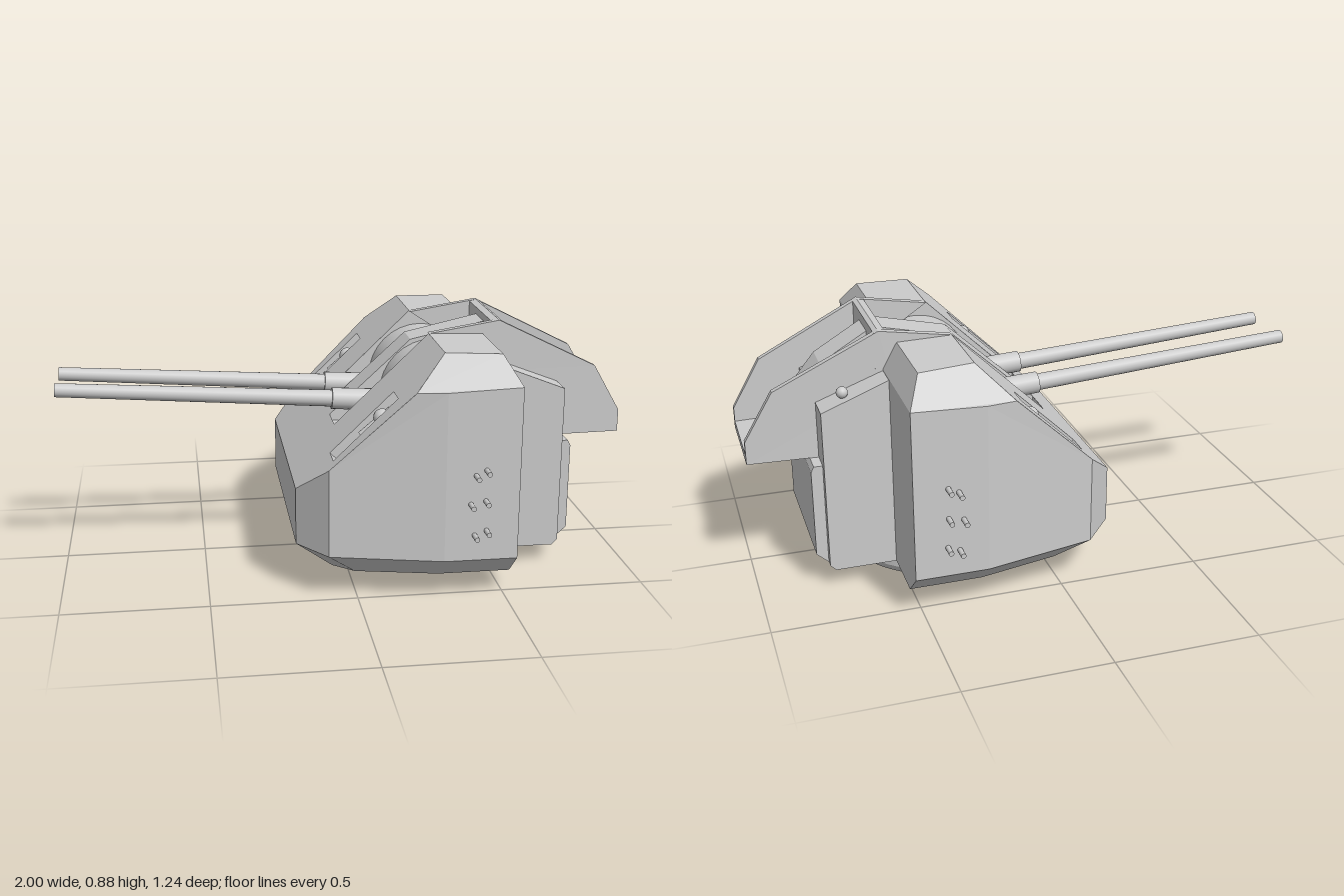
import * as THREE from 'three';
import { mergeGeometries } from 'three/addons/utils/BufferGeometryUtils.js';

const grey = new THREE.MeshStandardMaterial({ color: 0xcccccc });
const plate = new THREE.MeshStandardMaterial({ color: 0xcccccc, flatShading: true, side: THREE.DoubleSide });
const V = (p) => new THREE.Vector3(...p);
const centre = V([0.25, 0.45, 0]);

// Flat plate from corner points, with optional holes, facing away from the turret centre
function panel(pts, holes = [], inward = false) {
  const p = pts.map(V), n = new THREE.Vector3(), mid = new THREE.Vector3();
  p.forEach((a, i) => {
    n.add(new THREE.Vector3().crossVectors(a, p[(i + 1) % p.length]));
    mid.addScaledVector(a, 1 / p.length);
  });
  n.normalize();
  const u = p[1].clone().sub(p[0]);
  u.addScaledVector(n, -u.dot(n)).normalize();
  const v = n.clone().cross(u);
  const flat = (a) => new THREE.Vector2(a.dot(u), a.dot(v));
  const h = holes.map((q) => q.map(V));
  const faces = THREE.ShapeUtils.triangulateShape(p.map(flat), h.map((q) => q.map(flat)));
  const all = [...p, ...h.flat()];
  const flip = (n.dot(mid.sub(centre)) < 0) !== inward;
  const out = faces.flatMap(([a, b, c]) => (flip ? [a, c, b] : [a, b, c])).map((i) => all[i]);
  const g = new THREE.BufferGeometry().setFromPoints(out);
  g.computeVertexNormals();
  return g;
}

// Side profile (x, y) extruded between two z values
function slab(profile, z0, z1) {
  const g = new THREE.ExtrudeGeometry(new THREE.Shape(profile.map((p) => new THREE.Vector2(...p))),
    { depth: z1 - z0, bevelEnabled: false });
  return g.translate(0, 0, z0);
}

// Round bar between two points
function rod(a, b, r0, r1, open = false, sides = 16) {
  const A = V(a), d = V(b).sub(A);
  const g = new THREE.CylinderGeometry(r1, r0, d.length(), sides, 1, open);
  g.applyQuaternion(new THREE.Quaternion().setFromUnitVectors(new THREE.Vector3(0, 1, 0), d.clone().normalize()));
  return g.translate(...A.addScaledVector(d, 0.5).toArray());
}

const slopeY = (x) => 0.37 + (x + 0.2) * 0.959;
const mirror = (pts, s) => pts.map(([x, y, z]) => [x, y, z * s]);

// Plates of the armoured housing on one side
const sidePlates = [
  [[-0.2, 0.37, 0.4], [-0.1, 0.466, 0.51], [-0.1, 0.16, 0.51], [-0.2, 0.17, 0.4]],
  [[-0.1, 0.466, 0.51], [0.18, 0.734, 0.56], [0.28, 0.735, 0.575], [0.28, 0.15, 0.575], [-0.1, 0.16, 0.51]],
  [[0.28, 0.735, 0.575], [0.53, 0.745, 0.575], [0.53, 0.15, 0.575], [0.28, 0.15, 0.575]],
  [[0.18, 0.734, 0.56], [0.29, 0.84, 0.46], [0.48, 0.835, 0.48], [0.53, 0.745, 0.575], [0.28, 0.735, 0.575]],
  [[0.29, 0.84, 0.46], [0.29, 0.84, 0.185], [0.48, 0.835, 0.185], [0.48, 0.835, 0.48]],
  [[0.48, 0.835, 0.48], [0.48, 0.835, 0.185], [0.53, 0.745, 0.185], [0.53, 0.745, 0.575]],
  [[0.53, 0.745, 0], [0.53, 0.745, 0.575], [0.53, 0.15, 0.575], [0.53, 0.065, 0.48], [0.53, 0.065, 0]],
  [[-0.2, 0.17, 0.4], [-0.1, 0.16, 0.51], [0, 0.065, 0.42], [-0.07, 0.065, 0.36]],
  [[-0.1, 0.16, 0.51], [0.28, 0.15, 0.575], [0.28, 0.065, 0.48], [0, 0.065, 0.42]],
  [[0.28, 0.15, 0.575], [0.53, 0.15, 0.575], [0.53, 0.065, 0.48], [0.28, 0.065, 0.48]],
  [[-0.07, 0.065, 0], [-0.07, 0.065, 0.36], [0, 0.065, 0.42], [0.28, 0.065, 0.48], [0.53, 0.065, 0.48], [0.53, 0.065, 0]],
];

export function createModel() {
  const root = new THREE.Group();
  const add = (name, geo, mat = plate, parent = root) => {
    const m = new THREE.Mesh(geo, mat);
    m.name = name;
    parent.add(m);
    return m;
  };

  // Mounting ring
  add('mountingRing', new THREE.CylinderGeometry(0.325, 0.325, 0.045, 48).translate(0.32, 0.0475, 0), grey);
  add('ringFoot', new THREE.CylinderGeometry(0.325, 0.312, 0.025, 48).translate(0.32, 0.0125, 0), grey);

  // Armoured housing with gun opening and two sight ports
  const shell = [];
  const port = [[-0.08, 0.38], [0.135, 0.38], [0.135, 0.465], [-0.08, 0.465]].map(([x, z]) => [x, slopeY(x), z]);
  const edge = [[-0.2, 0.4], [-0.1, 0.51], [0.18, 0.56], [0.29, 0.46], [0.29, 0.185], [-0.04, 0.185]]
    .map(([x, z]) => [x, slopeY(x), z]);
  shell.push(panel([...edge, ...mirror(edge, -1).reverse()], [port, mirror(port, -1)]));
  shell.push(panel([[-0.2, 0.37, 0.4], [-0.2, 0.37, -0.4], [-0.2, 0.17, -0.4], [-0.2, 0.17, 0.4]]));
  shell.push(panel([[-0.2, 0.17, 0.4], [-0.2, 0.17, -0.4], [-0.07, 0.065, -0.36], [-0.07, 0.065, 0.36]]));
  for (const s of [1, -1]) {
    sidePlates.forEach((p) => shell.push(panel(mirror(p, s))));
    // gun opening cheek
    shell.push(panel(mirror([[-0.04, 0.5, 0.185], [-0.04, 0.523, 0.185], [0.29, 0.84, 0.185], [0.48, 0.835, 0.185],
      [0.53, 0.745, 0.185], [0.53, 0.5, 0.185]], s), [], true));
    // sight port recess
    const rim = mirror(port, s), low = rim.map(([x, y, z]) => [x + 0.05, y - 0.05, z]);
    rim.forEach((a, i) => {
      const j = (i + 1) % 4;
      shell.push(panel([a, rim[j], low[j], low[i]]));
    });
    shell.push(panel(low));
  }
  shell.push(panel([[-0.04, 0.5, 0.185], [0.53, 0.5, 0.185], [0.53, 0.5, -0.185], [-0.04, 0.5, -0.185]], [], true));
  shell.push(panel([[-0.04, 0.5, 0.185], [-0.04, 0.523, 0.185], [-0.04, 0.523, -0.185], [-0.04, 0.5, -0.185]], [], true));
  add('housing', mergeGeometries(shell));

  // Rib between the guns
  add('centreRib', slab([[-0.04, 0.5], [-0.04, 0.523], [0.25, 0.79], [0.52, 0.85], [0.52, 0.5]], -0.06, 0.06));

  for (const s of [1, -1]) {
    const side = new THREE.Group();
    side.name = s > 0 ? 'leftSide' : 'rightSide';
    root.add(side);

    // Gun: hollow barrel, sleeve, curved mantlet
    const z = 0.108 * s, at = (x) => [x, 0.662 - (x + 1) * 0.068, z];
    add('barrel', rod(at(-1), at(0), 0.024, 0.03, true, 20), grey, side);
    const bore = rod(at(-1), at(-0.8), 0.017, 0.017, true, 20);
    add('bore', bore, new THREE.MeshStandardMaterial({ color: 0xcccccc, side: THREE.BackSide }), side);
    const lip = new THREE.RingGeometry(0.017, 0.024, 20).rotateY(-Math.PI / 2).rotateZ(-0.068);
    add('muzzleRim', lip.translate(...at(-1)), plate, side);
    add('boreEnd', new THREE.CircleGeometry(0.017, 20).rotateY(-Math.PI / 2).translate(...at(-0.81)), plate, side);
    add('barrelSleeve', rod(at(-0.04), at(0.2), 0.038, 0.04, false, 20), grey, side);
    add('mantlet', new THREE.CylinderGeometry(0.19, 0.19, 0.122, 32).rotateX(Math.PI / 2).translate(0.33, 0.6, 0.122 * s), grey, side);

    // Sighting scope in its port
    add('scope', rod([0.02, 0.555, 0.42 * s], [0.12, 0.64, 0.42 * s], 0.014, 0.014), grey, side);
    add('scopeHead', new THREE.SphereGeometry(0.03, 16, 10).translate(0.09, 0.615, 0.42 * s), grey, side);

    // Paired pegs on the side wall
    for (const [x, y] of [[0.38, 0.24], [0.42, 0.255], [0.365, 0.35], [0.415, 0.36], [0.38, 0.45], [0.415, 0.467]])
      add('peg', rod([x, y, 0.55 * s], [x, y, 0.62 * s], 0.009, 0.009, false, 10), grey, side);
  }

  // Rear compartment
  add('rearCompartment', slab([[0.5, 0.065], [0.74, 0.065], [0.76, 0.085], [0.76, 0.65], [0.53, 0.74], [0.5, 0.74]], -0.28, 0.28));
  add('rearDoor', slab([[0.7, 0.066], [0.74, 0.066], [0.8, 0.12], [0.8, 0.43], [0.79, 0.45], [0.7, 0.45]], -0.25, 0.25));
  add('roofKnob', new THREE.SphereGeometry(0.02, 16, 10).translate(0.68, 0.7, -0.238), grey);

  // Open hood above the breeches, narrowing to the rear
  const hood = new THREE.Group();
  hood.name = 'hood';
  root.add(hood);
  const taper = (g) => {
    const p = g.attributes.position;
    for (let i = 0; i < p.count; i++) p.setZ(i, p.getZ(i) * (1 - 0.28 * Math.max(0, p.getX(i) - 0.53)));
    g.computeVertexNormals();
    return g;
  };
  const wall = [[0.29, 0.84], [0.54, 0.88], [0.9, 0.7], [1, 0.53], [1, 0.45], [0.53, 0.45], [0.5, 0.7]];
  add('hoodWall', taper(slab(wall, 0.165, 0.19)), plate, hood);
  add('hoodWall', taper(slab(wall, -0.19, -0.165)), plate, hood);
  add('hoodFloor', taper(slab([[0.5, 0.76], [0.7, 0.65], [0.92, 0.48], [1, 0.48], [1, 0.45], [0.5, 0.45]], -0.17, 0.17)), plate, hood);
  add('hoodRib', slab([[0.52, 0.86], [0.72, 0.74], [0.9, 0.52], [0.9, 0.47], [0.52, 0.5]], -0.06, 0.06), plate, hood);
  add('hoodCrossbar', slab([[0.515, 0.874], [0.54, 0.88], [0.555, 0.873], [0.555, 0.7], [0.515, 0.7]], -0.188, 0.188), plate, hood);

  return root;
}
